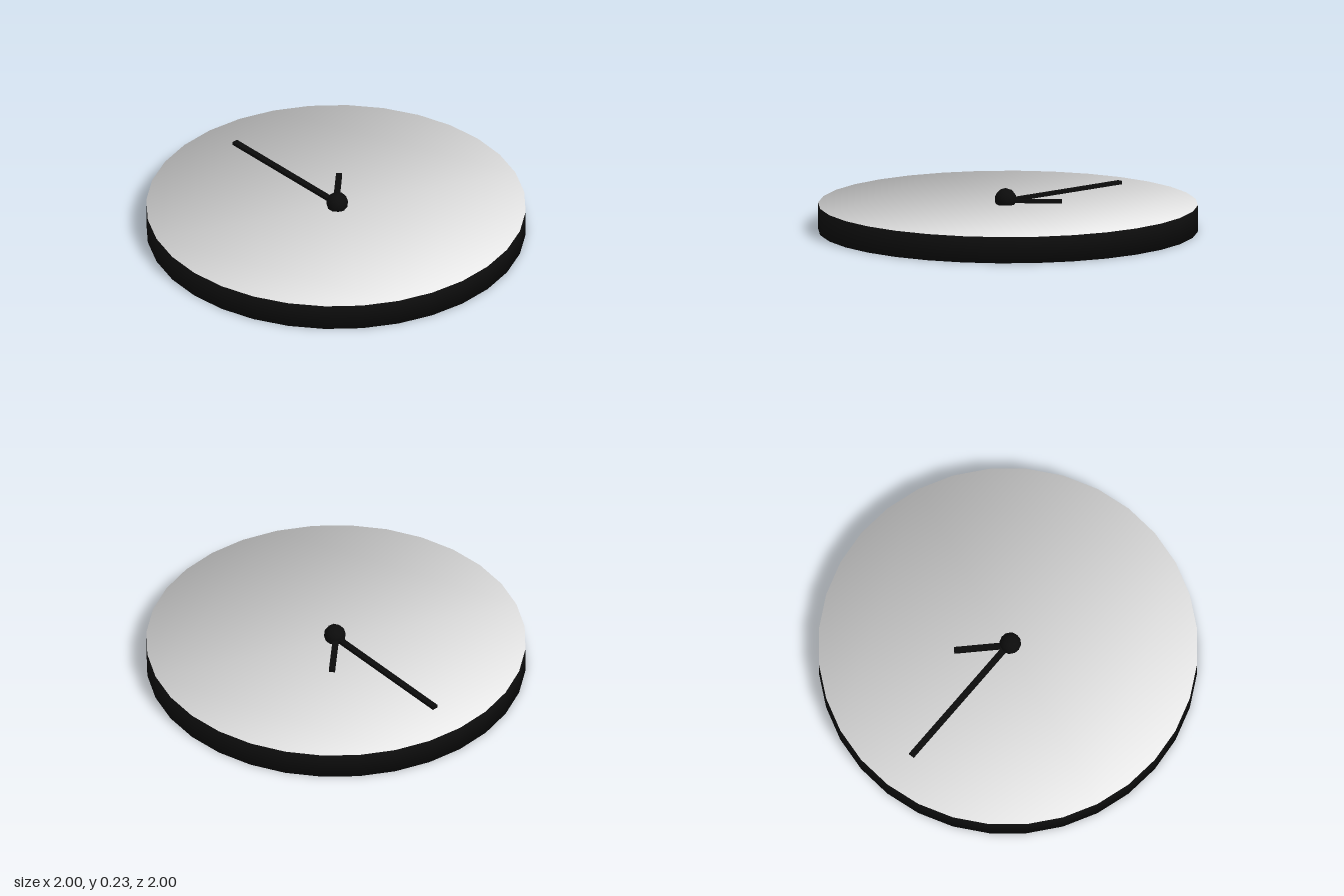
import * as THREE from 'three';

const SIDES = 32;
const HEIGHT = 0.14;

// Rim normals lean 45 degrees outward, so the disc shades softly like one smooth body
function softenNormals(geometry, up) {
  const p = geometry.attributes.position;
  const n = geometry.attributes.normal;
  const v = new THREE.Vector3();
  for (let i = 0; i < p.count; i++) {
    const ny = up ?? (p.getY(i) > HEIGHT / 2 ? 1 : -1);
    v.set(p.getX(i), ny, p.getZ(i)).normalize();
    n.setXYZ(i, v.x, v.y, v.z);
  }
  return geometry;
}

// Flat many-sided disc facing up (1) or down (-1)
function disc(up, y) {
  const points = [];
  for (let i = 0; i < SIDES; i++) {
    const a = (i / SIDES) * Math.PI * 2;
    points.push(new THREE.Vector2(Math.cos(a), Math.sin(a)));
  }
  const geometry = new THREE.ShapeGeometry(new THREE.Shape(points));
  geometry.rotateX(-up * Math.PI / 2).translate(0, y, 0);
  return softenNormals(geometry, up);
}

export function createModel() {
  const black = new THREE.MeshStandardMaterial({ color: 0x0c0c0c, side: THREE.DoubleSide });
  black.name = 'black';
  const white = new THREE.MeshStandardMaterial({ color: 0xe7e7e7, side: THREE.DoubleSide });
  white.name = 'white';

  const clock = new THREE.Group();
  clock.name = 'wallClock';
  const add = (name, geometry, material, parent = clock) => {
    const mesh = new THREE.Mesh(geometry, material);
    mesh.name = name;
    parent.add(mesh);
    return mesh;
  };

  // Case: black rim and back, white dial
  const rim = new THREE.CylinderGeometry(1, 1, HEIGHT, SIDES, 1, true).translate(0, HEIGHT / 2, 0);
  add('rim', softenNormals(rim), black);
  add('back', disc(-1, 0), black);
  add('dial', disc(1, HEIGHT), white);

  // Hands: bars running from the centre towards -z, turned clockwise
  const addHand = (name, length, y, angle) => {
    const bar = new THREE.BoxGeometry(0.032, 0.018, length).translate(0, 0, -length / 2);
    const hand = add(name, bar, black);
    hand.position.y = y;
    hand.rotation.y = -angle;
  };
  addHand('minuteHand', 0.8, 0.16, 0);
  addHand('hourHand', 0.285, 0.156, Math.PI / 4);

  // Faceted round knob over the pivot
  const hub = add('hub', new THREE.IcosahedronGeometry(0.058, 1), black);
  hub.position.set(-0.004, 0.168, 0.014);

  return clock;
}
